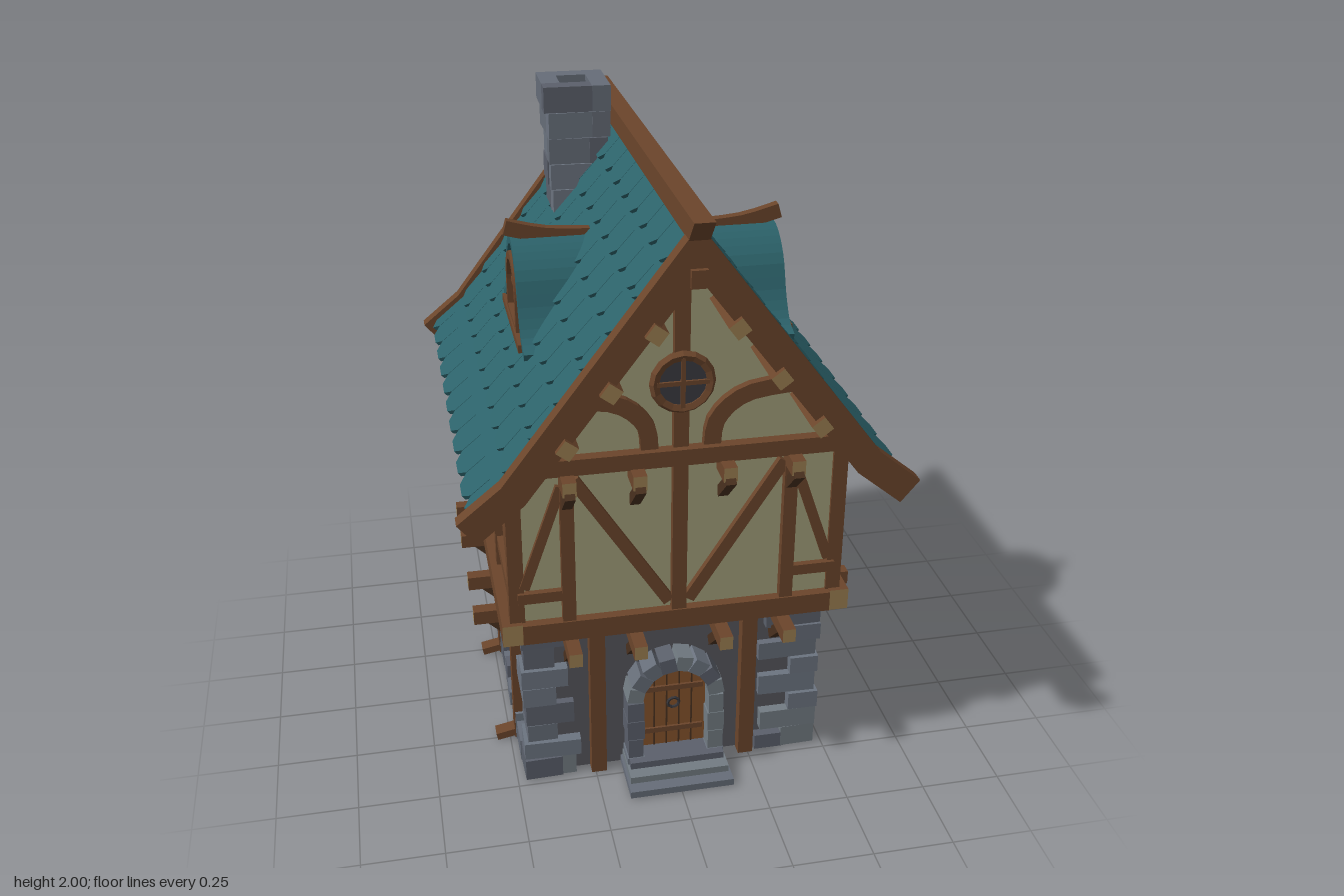
import * as THREE from 'three';

const mat = (color) => new THREE.MeshStandardMaterial({ color, flatShading: true, side: THREE.DoubleSide });
const WOOD = mat(0x6b452b), END = mat(0x9c8052), DARK = mat(0x4a311f), CREAM = mat(0xa3a07a);
const TEAL = mat(0x2c626a), WALL = mat(0x56565c), GLASS = mat(0x3b3b41), DOOR = mat(0x85532b), IRON = mat(0x35353a);
const STONES = [mat(0x666d78), mat(0x737c83), mat(0x5b606b), mat(0x6c7480)];

let seed = 7;
const rand = (a = 0, b = 1) => {
  seed = (seed * 16807) % 2147483647;
  return a + (b - a) * (seed / 2147483647);
};
const stone = () => STONES[Math.floor(rand(0, 3.99))];

function add(parent, name, geo, material, p = [0, 0, 0], r = [0, 0, 0]) {
  const m = new THREE.Mesh(geo, material);
  m.name = name;
  m.position.set(...p);
  m.rotation.set(...r);
  parent.add(m);
  return m;
}
const box = (w, h, d) => new THREE.BoxGeometry(w, h, d);
const extrude = (shape, depth) => new THREE.ExtrudeGeometry(shape, { depth, bevelEnabled: false, curveSegments: 10 });
const polygon = (pts) => new THREE.Shape(pts.map(([x, y]) => new THREE.Vector2(x, y)));
const mirrored = (half) => [...half.map(([x, y]) => [-x, y]), ...half.slice(0, -1).reverse()];
const smooth = (pts, n) => new THREE.SplineCurve(pts.map((p) => new THREE.Vector2(...p))).getPoints(n).map((v) => [v.x, v.y]);

// Flat strip of constant width following a polyline, mitred at the joints
function band(pts, width, depth) {
  const normal = (a, b) => new THREE.Vector2(a[1] - b[1], b[0] - a[0]).normalize();
  const left = [], right = [];
  pts.forEach((p, i) => {
    const n1 = normal(pts[Math.max(i - 1, 0)], pts[Math.max(i, 1)]);
    const n2 = normal(pts[Math.min(i, pts.length - 2)], pts[Math.min(i + 1, pts.length - 1)]);
    const n = n1.clone().add(n2).normalize();
    const k = width / 2 / n.dot(n1);
    left.push([p[0] + n.x * k, p[1] + n.y * k]);
    right.unshift([p[0] - n.x * k, p[1] - n.y * k]);
  });
  return extrude(polygon([...left, ...right]), depth);
}

// Round-topped opening: half width r, from y0 up to the spring line y1
function arch(r, y0, y1, Kind = THREE.Shape) {
  const s = new Kind();
  s.moveTo(-r, y0);
  s.lineTo(r, y0);
  s.lineTo(r, y1);
  s.absarc(0, y1, r, 0, Math.PI, false);
  s.closePath();
  return s;
}
function archWindow(parent, r, y0, y1, z) {
  const frame = arch(r, y0, y1);
  frame.holes.push(arch(r - 0.024, y0 + 0.02, y1, THREE.Path));
  add(parent, 'windowFrame', extrude(frame, 0.035), WOOD, [0, 0, z]);
  add(parent, 'windowGlass', extrude(arch(r - 0.02, y0 + 0.01, y1), 0.01), GLASS, [0, 0, z]);
  const h = y1 + r - y0 - 0.03;
  add(parent, 'mullion', box(0.014, h, 0.02), WOOD, [0, y0 + 0.01 + h / 2, z + 0.012]);
  add(parent, 'mullion', box(r * 2 - 0.04, 0.014, 0.02), WOOD, [0, y1, z + 0.012]);
}

// Joist end sticking out of a wall, with a slanted bracket below
function joist(parent, u, y, from, to, wall) {
  add(parent, 'joist', box(0.04, 0.045, to - from), [WOOD, WOOD, WOOD, WOOD, END, END], [u, y, (from + to) / 2]);
  add(parent, 'bracket', box(0.03, 0.03, 0.13), DARK, [u, y - 0.058, wall + 0.035], [-0.75, 0, 0]);
}

// Ground floor wall of one side
function groundSide(g, gable) {
  const front = g.name === 'frontSide';
  add(g, 'stoneWall', box(0.9, 0.57, 0.03), WALL, [0, 0.285, 0.43]);
  for (const s of [-1, 1]) {
    add(g, 'groundPost', box(0.048, 0.57, 0.05), WOOD, [s * 0.24, 0.285, 0.46]);
    if (!gable) add(g, 'postFoot', box(0.045, 0.025, 0.11), WOOD, [s * 0.24, 0.018, 0.49], [0.2, 0, 0]);
    for (const u of [0.13, 0.325]) joist(g, s * u, 0.54, 0.4, gable ? 0.62 : 0.6, 0.465);
  }
  for (let u = -0.37; u < 0.35;) {
    const w = rand(0.06, 0.12), h = rand(0.05, 0.11), c = u + w / 2;
    if (!front || Math.abs(c) > 0.29) add(g, 'baseStone', box(w - 0.004, h, 0.08), stone(), [c, h / 2, 0.43 + rand(0, 0.012)]);
    u += w;
  }
}

function doorway(g) {
  add(g, 'door', extrude(arch(0.105, 0.05, 0.28), 0.02), DOOR, [0, 0, 0.45]);
  for (const u of [-0.06, -0.02, 0.02, 0.06]) add(g, 'plankGap', box(0.005, 0.3, 0.004), DARK, [u, 0.21, 0.471]);
  for (const y of [0.13, 0.29]) add(g, 'hinge', box(0.19, 0.018, 0.008), WOOD, [0, y, 0.474]);
  add(g, 'doorRing', new THREE.TorusGeometry(0.018, 0.005, 5, 10), IRON, [0, 0.235, 0.48]);
  for (const s of [-1, 1]) for (let i = 0; i < 4; i++) {
    add(g, 'jambStone', box(rand(0.045, 0.055), 0.068, 0.09), stone(), [s * 0.128, 0.035 + i * 0.07, 0.48]);
  }
  for (let i = 0; i < 8; i++) {
    const a = ((i + 0.5) * Math.PI) / 8;
    add(g, 'archStone', box(0.05, 0.05, rand(0.08, 0.09)), stone(), [Math.cos(a) * 0.128, 0.28 + Math.sin(a) * 0.128, 0.48], [0, 0, a]);
  }
  for (let i = 0; i < 3; i++) add(g, 'step', box(0.33 - i * 0.015, 0.023, 0.19 - i * 0.04), STONES[i], [0, 0.0115 + i * 0.023, 0.535 - i * 0.02]);
}

// Half-timbering on the gable ends
function gableSide(g) {
  const timber = (pts, w, z = 0.51) => add(g, 'timber', band(pts, w, 0.035), WOOD, [0, 0, z]);
  timber([[0, 0.6], [0, 1.78]], 0.044);
  timber([[-0.5, 1.155], [0.5, 1.155]], 0.05, 0.53);
  timber([[-0.47, 0.6], [0.47, 0.6]], 0.065, 0.515);
  for (const s of [-1, 1]) {
    timber([[s * 0.33, 0.6], [s * 0.33, 1.14]], 0.04);
    timber([[s * 0.31, 1.1], [s * 0.03, 0.66]], 0.036, 0.505);
    timber([[s * 0.48, 0.72], [s * 0.34, 0.72]], 0.034, 0.505);
    timber([[s * 0.46, 0.75], [s * 0.345, 1.08]], 0.03, 0.5);
    timber(smooth([[s * 0.09, 1.17], [s * 0.105, 1.26], [s * 0.19, 1.33], [s * 0.35, 1.35]], 10), 0.05);
    for (const u of [0.13, 0.33]) joist(g, s * u, 1.11, 0.45, 0.61, 0.53);
  }
  // Round window
  add(g, 'roundGlass', new THREE.CylinderGeometry(0.08, 0.08, 0.03, 16), GLASS, [0, 1.385, 0.54], [Math.PI / 2, 0, 0]);
  add(g, 'roundFrame', new THREE.TorusGeometry(0.08, 0.015, 5, 16), WOOD, [0, 1.385, 0.55]);
  for (const a of [0, Math.PI / 2]) add(g, 'roundMullion', box(0.15, 0.013, 0.02), WOOD, [0, 1.385, 0.552], [0, 0, a]);
  // Barge boards following the rake with a flared foot
  add(g, 'bargeBoards', band(mirrored([[0.625, 1.065], [0.497, 1.17], [0, 1.825]]), 0.085, 0.045), WOOD, [0, 0, 0.675]);
}

// Half-timbering and window on the long sides
function longSide(g) {
  const timber = (pts, w, z = 0.475) => add(g, 'timber', band(pts, w, 0.03), WOOD, [0, 0, z]);
  timber([[-0.5, 0.72], [0.5, 0.72]], 0.038);
  timber([[-0.5, 1.12], [0.5, 1.12]], 0.05);
  for (const s of [-1, 1]) {
    timber([[s * 0.18, 0.6], [s * 0.18, 1.14]], 0.04, 0.48);
    timber([[s * 0.49, 0.74], [s * 0.2, 1.09]], 0.036, 0.47);
  }
  archWindow(g, 0.105, 0.765, 0.855, 0.485);
  add(g, 'windowSill', box(0.26, 0.02, 0.05), STONES[2], [0, 0.757, 0.505]);
  add(g, 'sillBeam', box(1.09, 0.07, 0.06), [END, END, WOOD, WOOD, WOOD, WOOD], [0, 0.6, 0.5]);
}

// Rows of scale-shaped tiles on one roof slope
function tiles(g) {
  const L = 1.34, w = L / 10, slope = Math.hypot(0.5, 0.67) / 7;
  for (let i = 0; i < 8; i++) {
    const flare = i === 7, h = flare ? 0.17 : slope + 0.02;
    const pts = [];
    for (let t = -1; t < 11; t++) {
      for (const [u, v] of [[0.01, 0.1], [0.01, 0.028], [0.25, 0], [0.75, 0], [0.99, 0.028], [0.99, 0.1]]) {
        const x = (t + u + (i % 2) / 2) * w - L / 2;
        if (Math.abs(x) <= L / 2) pts.push([x, v]);
      }
    }
    const shape = polygon([[-L / 2, h], [-L / 2, 0.02], ...pts, [L / 2, 0.02], [L / 2, h]]);
    const k = (i + 1) / 7;
    const p = flare ? [0, 1.092, 0.615] : [0, 1.86 - 0.67 * k + 0.004, 0.5 * k + 0.006];
    const tilt = flare ? Math.atan2(0.12, 0.1) : Math.atan2(0.5, 0.67) + 0.09;
    add(g, 'tileRow', extrude(shape, 0.014), TEAL, p, [-tilt, 0, 0]);
  }
}

function dormer(g) {
  const bell = mirrored([[0.265, 1.365], [0.205, 1.39], [0.155, 1.46], [0.115, 1.555], [0.06, 1.61], [0, 1.63]]);
  const curve = smooth(bell, 28);
  add(g, 'dormerRoof', band(curve, 0.022, 0.3), TEAL, [0, 0, 0.105]);
  const panel = curve.map(([x, y]) => [x * 0.82, 1.365 + (y - 1.365) * 0.95]);
  add(g, 'dormerFront', extrude(polygon(panel), 0.2), WOOD, [0, 0, 0.18]);
  archWindow(g, 0.118, 1.375, 1.475, 0.375);
  add(g, 'dormerSill', box(0.42, 0.025, 0.04), WOOD, [0, 1.37, 0.395]);
  const ridge = smooth([[0.15, 1.635], [0.3, 1.645], [0.42, 1.675]], 6);
  add(g, 'dormerRidge', band(ridge, 0.045, 0.03), WOOD, [0.015, 0, 0], [0, -Math.PI / 2, 0]);
}

export function createModel() {
  const house = new THREE.Group();
  house.name = 'house';

  // Four sides, each built facing +z and turned into place
  ['frontSide', 'leftSide', 'backSide', 'rightSide'].forEach((name, i) => {
    const g = new THREE.Group();
    g.name = name;
    g.rotation.y = (i * Math.PI) / 2;
    house.add(g);
    groundSide(g, i % 2 === 0);
    if (i === 0) doorway(g);
    if (i % 2 === 0) gableSide(g);
    else [longSide, tiles, dormer].forEach((build) => build(g));
  });

  // Corner stones and upper corner posts
  for (const sx of [-1, 1]) for (const sz of [-1, 1]) {
    for (let i = 0, y = 0; i < 8; i++) {
      const h = i === 7 ? 0.57 - y : rand(0.06, 0.08), long = rand(0.14, 0.19), short = rand(0.09, 0.12);
      const [w, d] = i % 2 ? [long, short] : [short, long];
      const o = rand(0.46, 0.478);
      add(house, 'cornerStone', box(w, h - 0.003, d), stone(), [sx * (o - w / 2), y + h / 2, sz * (o + 0.005 - d / 2)], [0, rand(-0.03, 0.03), 0]);
      y += h;
    }
    add(house, 'cornerPost', box(0.045, 0.56, 0.045), WOOD, [sx * 0.483, 0.87, sz * 0.507]);
  }

  // Upper storey body and floor
  const body = polygon([[-0.485, 0.58], [0.485, 0.58], [0.485, 1.15], [0, 1.8], [-0.485, 1.15]]);
  add(house, 'plasterBody', extrude(body, 1.04), CREAM, [0, 0, -0.52]);
  add(house, 'floor', box(0.98, 0.02, 1.04), WOOD, [0, 0.575, 0]);

  // Roof slab, purlins and ridge beam
  const slab = polygon([[0, 1.86], [0.5, 1.19], [0.6, 1.1], [0.585, 1.075], [0.48, 1.155], [0, 1.8],
    [-0.48, 1.155], [-0.585, 1.075], [-0.6, 1.1], [-0.5, 1.19]]);
  add(house, 'roofSlab', extrude(slab, 1.35), TEAL, [0, 0, -0.675]);
  for (const s of [-1, 1]) for (const [x, y] of [[0.11, 1.61], [0.23, 1.455], [0.35, 1.3]]) {
    add(house, 'purlin', box(0.045, 0.045, 1.47), [WOOD, WOOD, WOOD, WOOD, END, END], [s * x, y, 0], [0, 0, -s * 0.93]);
  }
  add(house, 'ridgePurlin', box(0.045, 0.05, 1.47), WOOD, [0, 1.755, 0]);
  const ridge = polygon([[-0.72, 1.855], [0.72, 1.855], [0.778, 1.92], [-0.778, 1.92]]);
  add(house, 'ridgeBeam', extrude(ridge, 0.056), WOOD, [-0.028, 0, 0], [0, Math.PI / 2, 0]);

  // Chimney of pinwheel stone courses, wider towards the top
  const chimney = new THREE.Group();
  chimney.name = 'chimney';
  house.add(chimney);
  for (let i = 0; i < 6; i++) {
    const course = new THREE.Group(), h = 0.5 / 6, a = 0.08 + i * 0.005, t = 0.058;
    course.position.set(-0.143 + rand(-0.006, 0.006), 1.5 + h * (i + 0.5), -0.43);
    course.rotation.y = (i % 2 ? Math.PI / 2 : 0) + rand(-0.03, 0.03);
    for (let k = 0; k < 4; k++) {
      const turn = new THREE.Group();
      turn.rotation.y = (k * Math.PI) / 2;
      add(turn, 'chimneyStone', box(2 * a - t, h - 0.003, t), stone(), [-t / 2, 0, a - t / 2 + (i < 5 ? rand(-0.005, 0.005) : 0)]);
      course.add(turn);
    }
    chimney.add(course);
  }
  return house;
}
